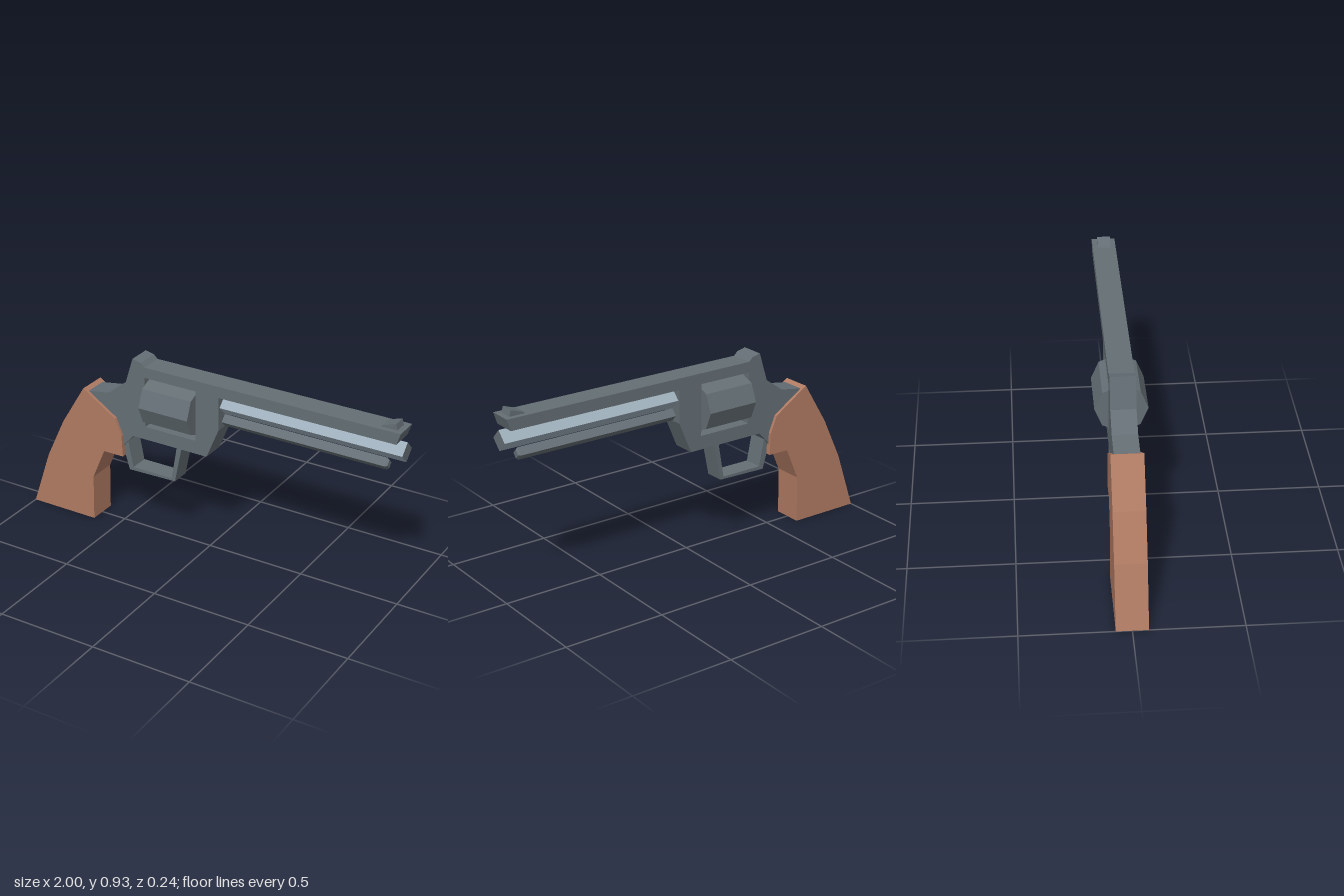
import * as THREE from 'three';

const material = (name, color) => {
  const m = new THREE.MeshStandardMaterial({ color });
  m.name = name;
  return m;
};

export function createModel() {
  const group = new THREE.Group();
  const steel = material('dark steel', 0x646e74);
  const silver = material('pale steel', 0x9dafbb);
  const wood = material('wood', 0xb07b63);

  const add = (name, geometry, mat) => {
    const mesh = new THREE.Mesh(geometry, mat);
    mesh.name = name;
    group.add(mesh);
    return mesh;
  };
  const points = (list) => list.map(([x, y]) => new THREE.Vector2(x, y));

  // Side profile extruded symmetrically about z = 0
  const slab = (name, outline, halfWidth, mat, hole) => {
    const shape = new THREE.Shape(points(outline));
    if (hole) shape.holes.push(new THREE.Path(points(hole)));
    const geometry = new THREE.ExtrudeGeometry(shape, { depth: halfWidth * 2, bevelEnabled: false });
    geometry.translate(0, 0, -halfWidth);
    return add(name, geometry, mat);
  };

  // Faceted rod along x from x0 to x1
  const rod = (name, x0, x1, y, r0, r1, sides, mat) => {
    const geometry = new THREE.CylinderGeometry(r1, r0, x1 - x0, sides).toNonIndexed();
    geometry.computeVertexNormals();
    geometry.rotateZ(-Math.PI / 2).translate((x0 + x1) / 2, y, 0);
    return add(name, geometry, mat);
  };

  // Frame with top rib and an open window for the cylinder
  slab('frame', [
    [-0.65, 0.698], [-0.53, 0.717], [-0.435, 0.785], [-0.39, 0.928], [-0.345, 0.917],
    [-0.325, 0.898], [0.99, 0.898], [0.972, 0.842], [0.08, 0.842], [0.08, 0.675],
    [0.015, 0.52], [-0.395, 0.52], [-0.437, 0.475], [-0.453, 0.452], [-0.53, 0.5],
  ], 0.058, steel, [[-0.325, 0.588], [-0.045, 0.588], [-0.045, 0.845], [-0.325, 0.845]]);

  // Front sight wedge
  slab('frontSight', [[0.885, 0.897], [0.963, 0.897], [0.955, 0.927], [0.89, 0.905]], 0.033, steel);

  // Eight-sided cylinder
  rod('cylinder', -0.32, -0.052, 0.715, 0.122, 0.122, 8, steel);

  // Barrel and the rod below it
  rod('barrel', 0.07, 1, 0.787, 0.049, 0.049, 4, [silver, steel, steel]);
  rod('ejectorRod', 0.07, 0.91, 0.706, 0.03, 0.03, 4, steel);
  rod('ejectorTip', 0.91, 0.92, 0.706, 0.03, 0.021, 4, steel);

  // Trigger guard loop
  slab('triggerGuard', [
    [-0.455, 0.48], [-0.45, 0.40], [-0.428, 0.325], [-0.168, 0.331], [-0.128, 0.525], [-0.155, 0.525],
    [-0.187, 0.343], [-0.406, 0.343], [-0.433, 0.48],
  ], 0.048, steel);

  // Grip
  slab('grip', [
    [-0.67, 0.712], [-0.80, 0.50], [-0.90, 0.29], [-1, 0], [-0.635, 0],
    [-0.63, 0.238], [-0.56, 0.40], [-0.45, 0.40], [-0.455, 0.51], [-0.49, 0.595],
  ], 0.073, wood);

  return group;
}
